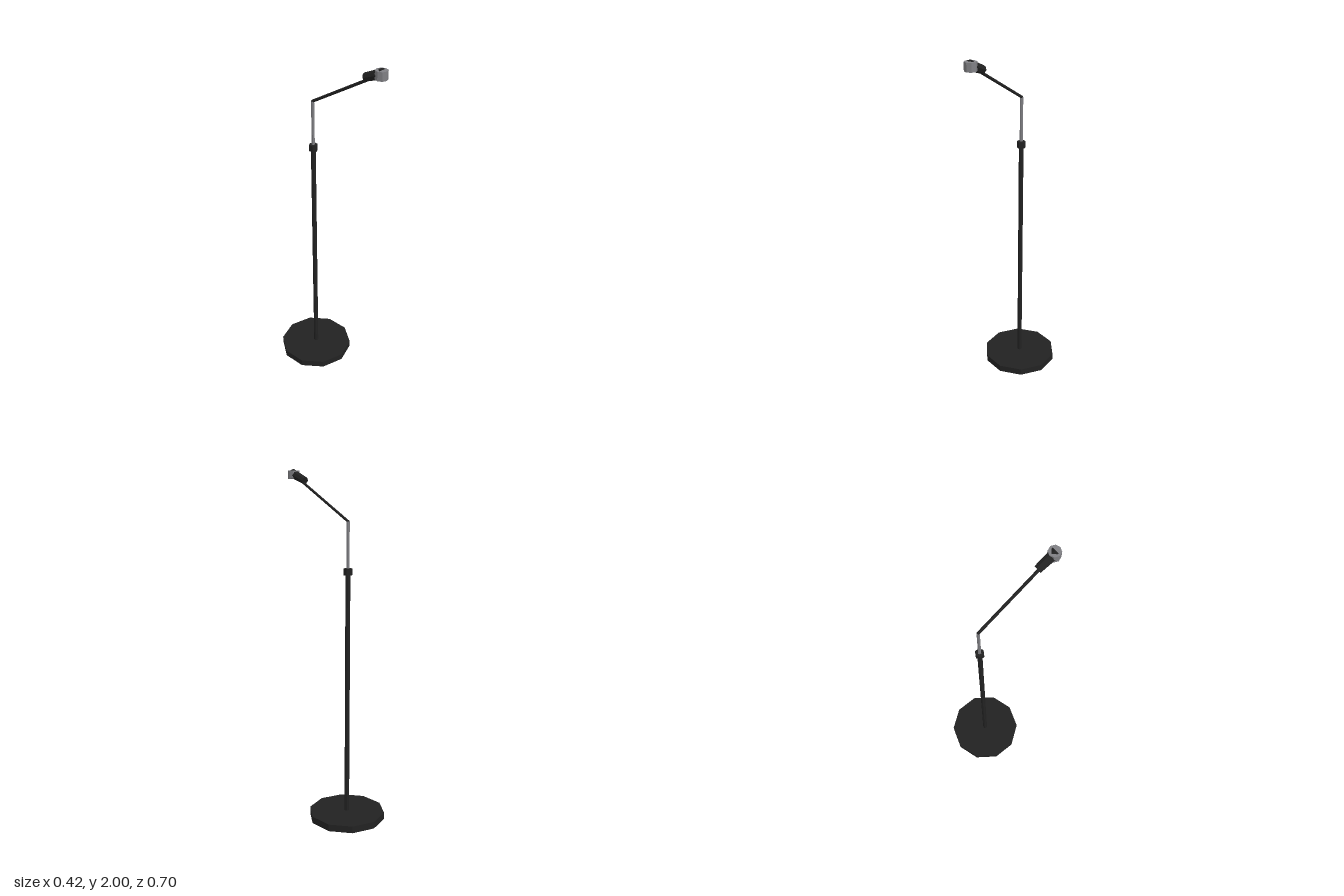
import * as THREE from 'three';

export function createModel() {
  const black = new THREE.MeshStandardMaterial({ color: 0x222222, flatShading: true });
  black.name = 'matte black';
  const metal = new THREE.MeshStandardMaterial({ color: 0x808084, flatShading: true });
  metal.name = 'grey metal';

  const group = new THREE.Group();
  group.name = 'microphoneStand';
  const poleZ = -0.132;

  // Faceted rod between two [y, z] points in the plane x = 0
  function rod(name, [y0, z0], [y1, z1], r0, r1, sides, material) {
    const length = Math.hypot(y1 - y0, z1 - z0);
    const mesh = new THREE.Mesh(new THREE.CylinderGeometry(r1, r0, length, sides), material);
    mesh.name = name;
    mesh.position.set(0, (y0 + y1) / 2, (z0 + z1) / 2);
    mesh.rotation.x = Math.atan2(z1 - z0, y1 - y0);
    group.add(mesh);
  }

  // Weighted base and telescopic pole
  rod('base', [0, poleZ], [0.04, poleZ], 0.22, 0.22, 10, black);
  rod('lowerPole', [0.04, poleZ], [1.43, poleZ], 0.0135, 0.0135, 8, black);
  rod('collar', [1.42, poleZ], [1.457, poleZ], 0.025, 0.025, 6, black);
  rod('upperPole', [1.45, poleZ], [1.71, poleZ], 0.009, 0.009, 6, metal);

  // Boom arm
  rod('boom', [1.708, -0.135], [1.958, 0.3], 0.008, 0.008, 6, black);

  // Microphone: tapered body whose tip pokes through the top of the head
  rod('microphoneBody', [1.931, 0.22], [1.974, 0.3285], 0.022, 0.028, 8, black);
  rod('microphoneHead', [1.943, 0.318], [1.99, 0.318], 0.033, 0.033, 8, metal);

  return group;
}
